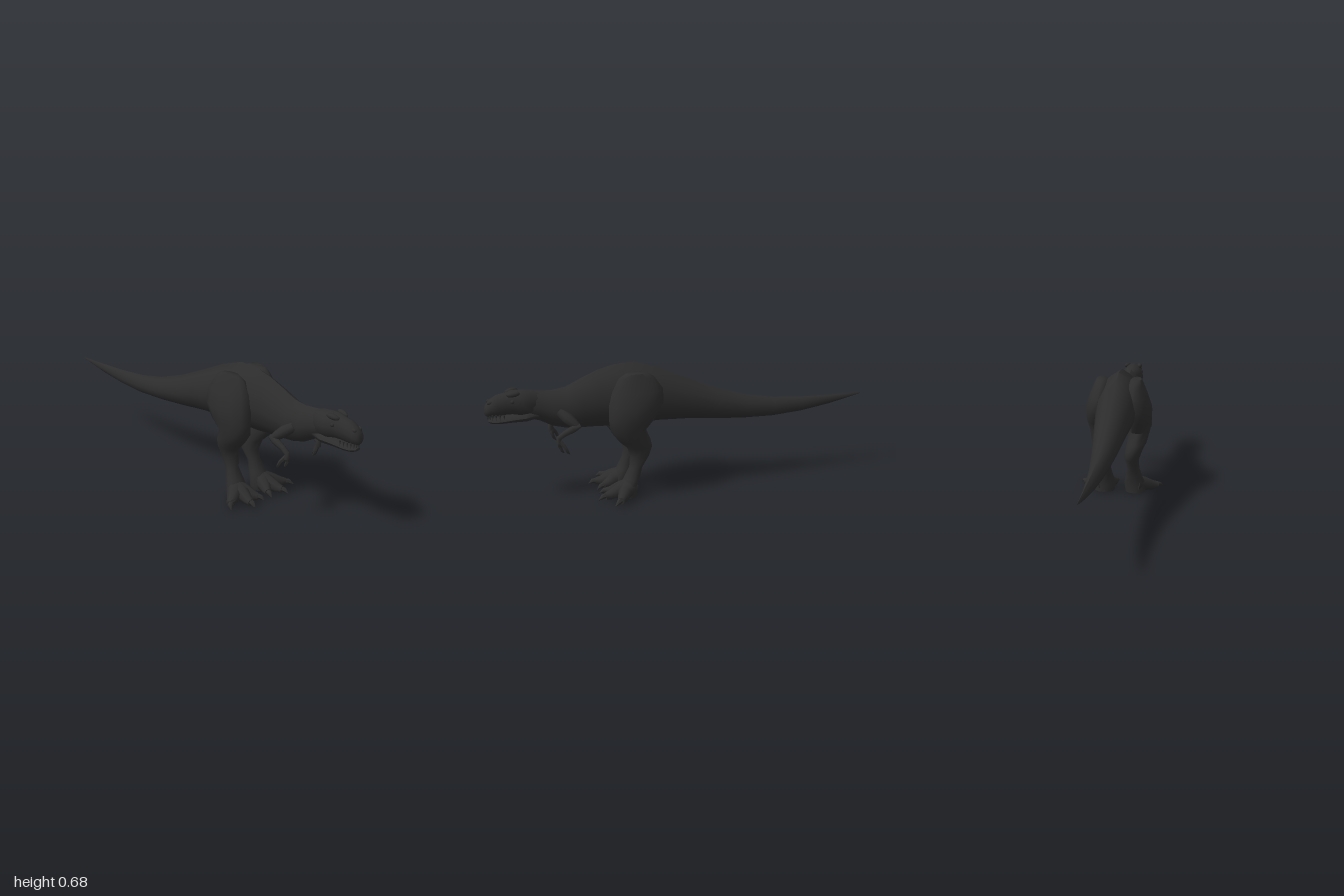
import * as THREE from 'three';
import { toCreasedNormals } from 'three/addons/utils/BufferGeometryUtils.js';

const V = (x, y, z) => new THREE.Vector3(x, y, z);
const hide = new THREE.MeshStandardMaterial({ color: 0x2c2c2c });
hide.name = 'charcoal hide';

// Cross-sections: a ridged torso shape and a round one
const half = [[0, 1], [0.5, 0.8], [0.85, 0.42], [1, -0.05], [0.86, -0.5], [0.45, -0.8]];
const ridged = [...half, ...[[0, 1], ...half.slice(1)].map(([a, b]) => [-a, -b])]
  .slice(0, 6).concat([[0, -1]], half.slice(1).reverse().map(([a, b]) => [-a, b])).reverse();
const round = n => Array.from({ length: n }, (_, i) => {
  const t = i / n * Math.PI * 2;
  return [Math.cos(t), Math.sin(t)];
});

// Skin a row of sections { p, u, v } and close both ends
function loft(sections, ring, crease = 1) {
  const n = ring.length, pos = [], idx = [], last = sections.length - 1;
  const w = sections[1].u.clone().cross(sections[1].v);
  const s = w.dot(sections[last].p.clone().sub(sections[0].p)) < 0 ? [...sections].reverse() : sections;
  for (const { p, u, v } of s) {
    for (const [a, b] of ring) pos.push(...p.clone().addScaledVector(u, a).addScaledVector(v, b).toArray());
  }
  pos.push(...s[0].p.toArray(), ...s[last].p.toArray());
  for (let j = 0; j < n; j++) {
    const k = (j + 1) % n;
    for (let i = 0; i < last; i++) {
      const a = i * n + j, b = i * n + k;
      idx.push(a, b, b + n, a, b + n, a + n);
    }
    idx.push((last + 1) * n, k, j, (last + 1) * n + 1, last * n + j, last * n + k);
  }
  const g = new THREE.BufferGeometry();
  g.setAttribute('position', new THREE.Float32BufferAttribute(pos, 3));
  g.setIndex(idx);
  return toCreasedNormals(g, crease);
}

// Rows of [z, top, bottom, halfWidth]
const alongZ = rows => rows.map(([z, t, b, h]) => ({ p: V(0, (t + b) / 2, z), u: V(h, 0, 0), v: V(0, (t - b) / 2, 0) }));
// Rows of [y, x, z, radiusX, radiusZ]
const alongY = rows => rows.map(([y, x, z, rx, rz]) => ({ p: V(x, y, z), u: V(0, 0, rz), v: V(rx, 0, 0) }));
// Rows of [x, y, z, radius], with rings square to the path
function alongPath(rows) {
  const pts = rows.map(r => V(r[0], r[1], r[2]));
  return rows.map((r, i) => {
    const t = pts[Math.min(i + 1, pts.length - 1)].clone().sub(pts[Math.max(i - 1, 0)]).normalize();
    const u = V(1, 0, 0).addScaledVector(t, -t.x).normalize();
    return { p: pts[i], u: u.clone().multiplyScalar(r[3]), v: t.clone().cross(u).multiplyScalar(r[3]) };
  });
}

export function createModel() {
  const model = new THREE.Group();
  model.name = 'dinosaur';
  const add = (parent, name, geo) => {
    const m = new THREE.Mesh(geo, hide);
    m.name = name;
    parent.add(m);
    return m;
  };

  // Tail, torso and neck in one skin
  add(model, 'body', loft(alongZ([
    [-1, 0.415, 0.409, 0.002], [-0.82, 0.417, 0.368, 0.012], [-0.66, 0.42, 0.343, 0.025],
    [-0.5, 0.432, 0.331, 0.038], [-0.34, 0.46, 0.334, 0.054], [-0.18, 0.512, 0.345, 0.071],
    [-0.02, 0.58, 0.36, 0.088], [0.12, 0.643, 0.365, 0.104], [0.25, 0.684, 0.362, 0.112],
    [0.36, 0.676, 0.358, 0.096], [0.44, 0.654, 0.363, 0.082], [0.52, 0.62, 0.365, 0.078],
    [0.6, 0.582, 0.37, 0.075], [0.67, 0.571, 0.388, 0.062], [0.73, 0.574, 0.42, 0.05],
    [0.79, 0.58, 0.44, 0.045], [0.83, 0.57, 0.455, 0.036]]), ridged));

  // Head
  const head = new THREE.Group();
  head.name = 'head';
  model.add(head);
  add(head, 'skull', loft(alongZ([
    [0.73, 0.57, 0.46, 0.035], [0.78, 0.584, 0.452, 0.055], [0.82, 0.588, 0.455, 0.061],
    [0.865, 0.588, 0.465, 0.05], [0.9, 0.578, 0.465, 0.042], [0.94, 0.57, 0.463, 0.043],
    [0.975, 0.548, 0.463, 0.038], [0.993, 0.525, 0.467, 0.028], [1, 0.505, 0.475, 0.014]]), round(12)));
  add(head, 'lowerJaw', loft(alongZ([
    [0.74, 0.49, 0.435, 0.04], [0.8, 0.48, 0.425, 0.053], [0.86, 0.468, 0.425, 0.044],
    [0.93, 0.455, 0.423, 0.037], [0.965, 0.452, 0.426, 0.031], [0.985, 0.448, 0.435, 0.017]]), round(10)));
  for (const s of [-1, 1]) {
    const brow = add(head, 'brow', new THREE.SphereGeometry(1, 10, 6));
    brow.scale.set(0.015, 0.014, 0.035);
    brow.position.set(s * 0.034, 0.575, 0.862);
    brow.rotation.set(0.15, s * -0.2, 0);
    const eye = add(head, 'eye', new THREE.SphereGeometry(0.01, 8, 6));
    eye.position.set(s * 0.045, 0.54, 0.868);
    const nostril = add(head, 'nostrilRidge', new THREE.SphereGeometry(1, 8, 6));
    nostril.scale.set(0.009, 0.01, 0.016);
    nostril.position.set(s * 0.02, 0.536, 0.972);
  }
  // Upper teeth around the muzzle
  for (let i = 0; i <= 12; i++) {
    const a = (i / 12 - 0.5) * Math.PI;
    const tooth = add(head, 'tooth', new THREE.ConeGeometry(0.005, 0.03, 5));
    tooth.position.set(Math.sin(a) * 0.037, 0.46, 0.91 + Math.cos(a) * 0.077);
    tooth.rotation.x = Math.PI;
  }

  for (const s of [-1, 1]) {
    const side = s > 0 ? 'left' : 'right';
    const flip = rows => rows.map(([x, ...r]) => [s * x, ...r]);

    // Leg from hip bulge to ankle
    const leg = new THREE.Group();
    leg.name = side + 'Leg';
    model.add(leg);
    add(leg, 'legSkin', loft(alongY([
      [0.008, 0.085, 0.31, 0.055, 0.048], [0.05, 0.083, 0.31, 0.06, 0.048],
      [0.1, 0.08, 0.288, 0.046, 0.04], [0.155, 0.078, 0.267, 0.033, 0.034],
      [0.21, 0.072, 0.245, 0.039, 0.05], [0.26, 0.082, 0.245, 0.046, 0.064],
      [0.3, 0.095, 0.272, 0.053, 0.08], [0.36, 0.103, 0.308, 0.06, 0.09],
      [0.42, 0.11, 0.287, 0.063, 0.12], [0.49, 0.102, 0.265, 0.076, 0.14],
      [0.56, 0.092, 0.255, 0.064, 0.13], [0.625, 0.088, 0.26, 0.042, 0.09],
      [0.648, 0.092, 0.262, 0.028, 0.055]].map(([y, x, ...r]) => [y, s * x, ...r])), round(12)));

    // Three toes, each with a knuckle and a claw
    for (const [x, z] of [[0.2, 0.375], [0.113, 0.435], [0.036, 0.41]]) {
      const dx = x - 0.085, dz = z - 0.31;
      add(leg, 'toe', loft(alongPath(flip([
        [0.085, 0.055, 0.3, 0.05], [0.085 + dx * 0.45, 0.042, 0.31 + dz * 0.45, 0.036],
        [0.085 + dx * 0.8, 0.028, 0.31 + dz * 0.8, 0.025], [x, 0.026, z, 0.018]])), round(8)));
      add(leg, 'toeClaw', loft(alongPath(flip([
        [x - dx * 0.1, 0.03, z - dz * 0.1, 0.014], [x + dx * 0.1, 0.026, z + 0.015, 0.012],
        [x + dx * 0.22, 0.012, z + 0.035, 0.002]])), round(6)));
    }

    // Small folded arm
    const arm = new THREE.Group();
    arm.name = side + 'Arm';
    model.add(arm);
    add(arm, 'upperArm', loft(alongPath(flip([
      [0.05, 0.47, 0.64, 0.025], [0.08, 0.445, 0.61, 0.029], [0.1, 0.42, 0.58, 0.023],
      [0.112, 0.4, 0.558, 0.014]])), round(8)));
    add(arm, 'forearm', loft(alongPath(flip([
      [0.112, 0.412, 0.552, 0.012], [0.112, 0.398, 0.585, 0.019], [0.111, 0.376, 0.63, 0.015],
      [0.11, 0.355, 0.66, 0.014], [0.112, 0.328, 0.658, 0.015]])), round(8)));
    for (const [x, z] of [[0.1, 0.645], [0.126, 0.622]]) {
      add(arm, 'finger', loft(alongPath(flip([
        [0.112, 0.342, 0.658, 0.012], [x, 0.31, z + 0.01, 0.01], [x + 0.004, 0.288, z, 0.008],
        [x, 0.273, z - 0.012, 0.001]])), round(6)));
    }
  }
  return model;
}
